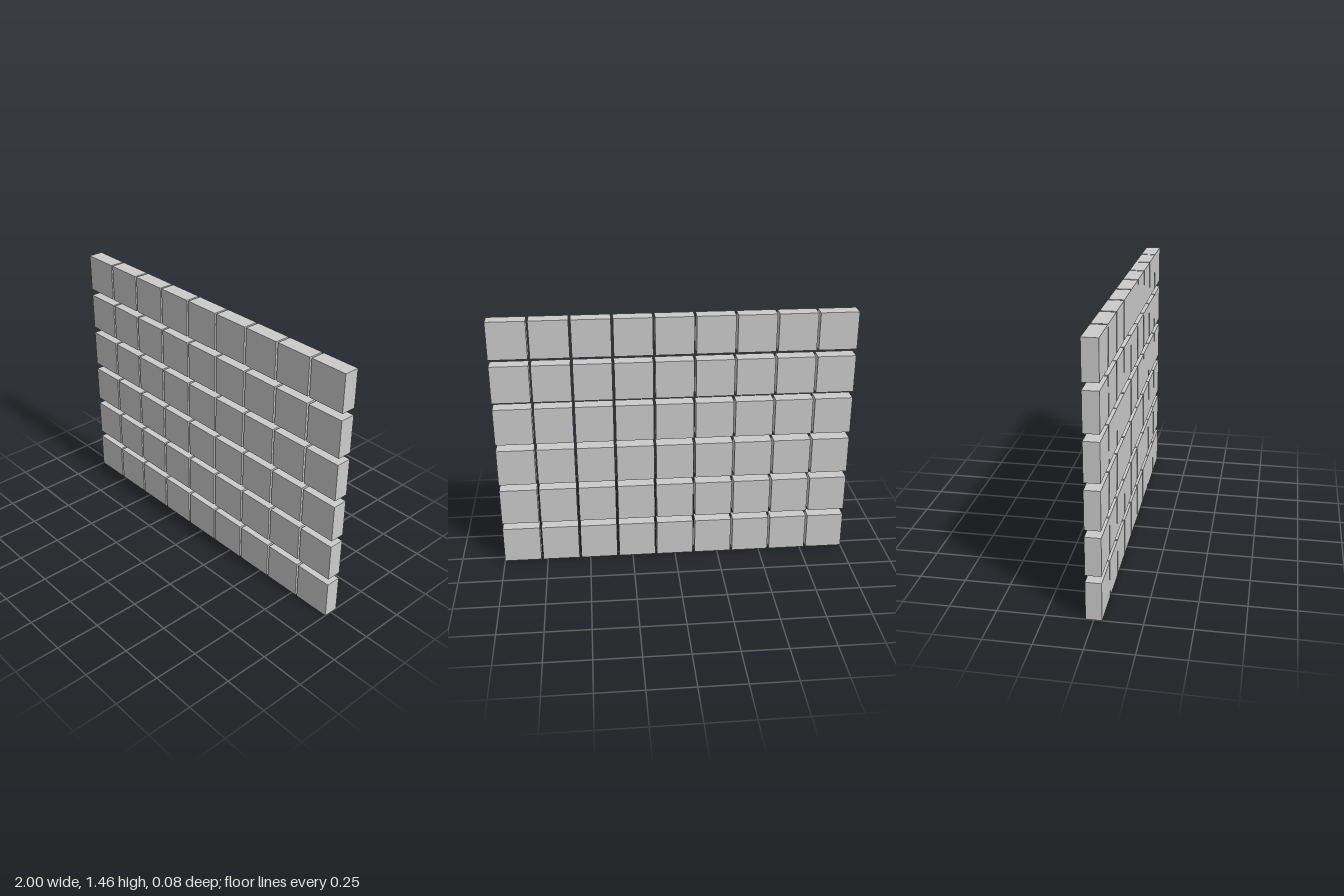
import * as THREE from 'three';

const COLUMNS = 9, ROWS = 6;
const SIZE = 0.212, DEPTH = 0.084;
const PITCH_X = (2 - SIZE) / (COLUMNS - 1), PITCH_Y = 0.2502;

export function createModel() {
  const wall = new THREE.Group();
  wall.name = 'blockWall';
  const material = new THREE.MeshStandardMaterial({ color: 0xcccccc, flatShading: true });
  const blockGeometry = new THREE.BoxGeometry(SIZE, SIZE, DEPTH);

  // Separate rows of square blocks, with wider gaps between rows than columns
  for (let r = 0; r < ROWS; r++) {
    const row = new THREE.Group();
    row.name = `row${r + 1}`;
    row.position.y = SIZE / 2 + r * PITCH_Y;
    for (let c = 0; c < COLUMNS; c++) {
      const block = new THREE.Mesh(blockGeometry, material);
      block.name = `block${c + 1}`;
      block.position.x = (c - (COLUMNS - 1) / 2) * PITCH_X;
      row.add(block);
    }
    wall.add(row);
  }
  return wall;
}
